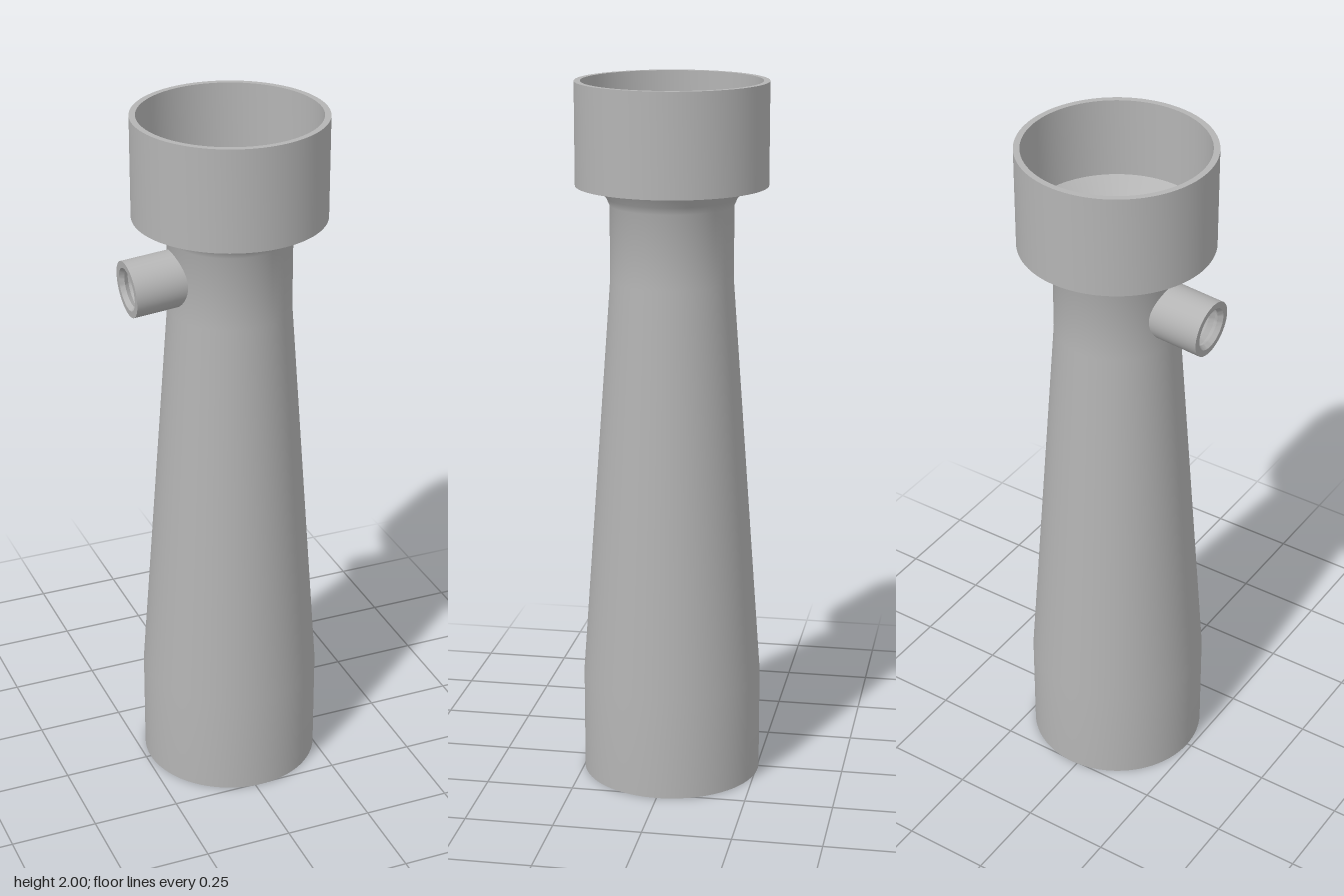
import * as THREE from 'three';
import { toCreasedNormals } from 'three/addons/utils/BufferGeometryUtils.js';

const AXIS_X = 0.019;

// Revolve a closed [radius, height] profile, keeping hard edges crisp
function turned(name, profile, segments, material) {
  const points = profile.map(([r, y]) => new THREE.Vector2(r, y));
  const geometry = toCreasedNormals(new THREE.LatheGeometry(points, segments), 0.45);
  const mesh = new THREE.Mesh(geometry, material);
  mesh.name = name;
  return mesh;
}

export function createModel() {
  const model = new THREE.Group();
  model.name = 'taperedNozzle';
  const grey = new THREE.MeshStandardMaterial({ color: 0xb4b4b4 });
  grey.name = 'plain grey';

  // Hollow body: base, long taper, neck, flare and cup, then back down the bore
  const body = turned('body', [
    [0.208, 0], [0.255, 0], [0.255, 0.3], [0.172, 1.45], [0.172, 1.66],
    [0.181, 1.68], [0.205, 1.715], [0.267, 1.715], [0.267, 2], [0.25, 2],
    [0.25, 1.775], [0.13, 1.675], [0.13, 1.45], [0.208, 0.3], [0.208, 0],
  ], 96, grey);
  body.position.x = AXIS_X;
  model.add(body);

  // Crossed straightening vanes inside the base
  const vanes = new THREE.Group();
  vanes.name = 'crossVanes';
  for (const angle of [0, Math.PI / 2]) {
    const vane = new THREE.Mesh(new THREE.BoxGeometry(0.42, 0.3, 0.019), grey);
    vane.name = 'vane';
    vane.rotation.y = angle;
    vane.position.set(AXIS_X, 0.151, 0);
    vanes.add(vane);
  }
  model.add(vanes);

  // Side port with a ridged, thread-like bore, tipped slightly downwards
  const length = 0.15;
  const profile = [[0.079, 0], [0.079, length], [0.06, length]];
  const ridges = 6;
  for (let i = 0; i < ridges; i++) {
    const y = length - (i + 0.5) * (length / ridges);
    profile.push([0.051, y], [0.06, y - length / ridges / 2]);
  }
  const port = turned('sidePort', profile, 48, grey);
  port.rotation.z = Math.PI / 2 + 0.085;
  port.position.set(-0.13, 1.557, 0);
  model.add(port);

  return model;
}
